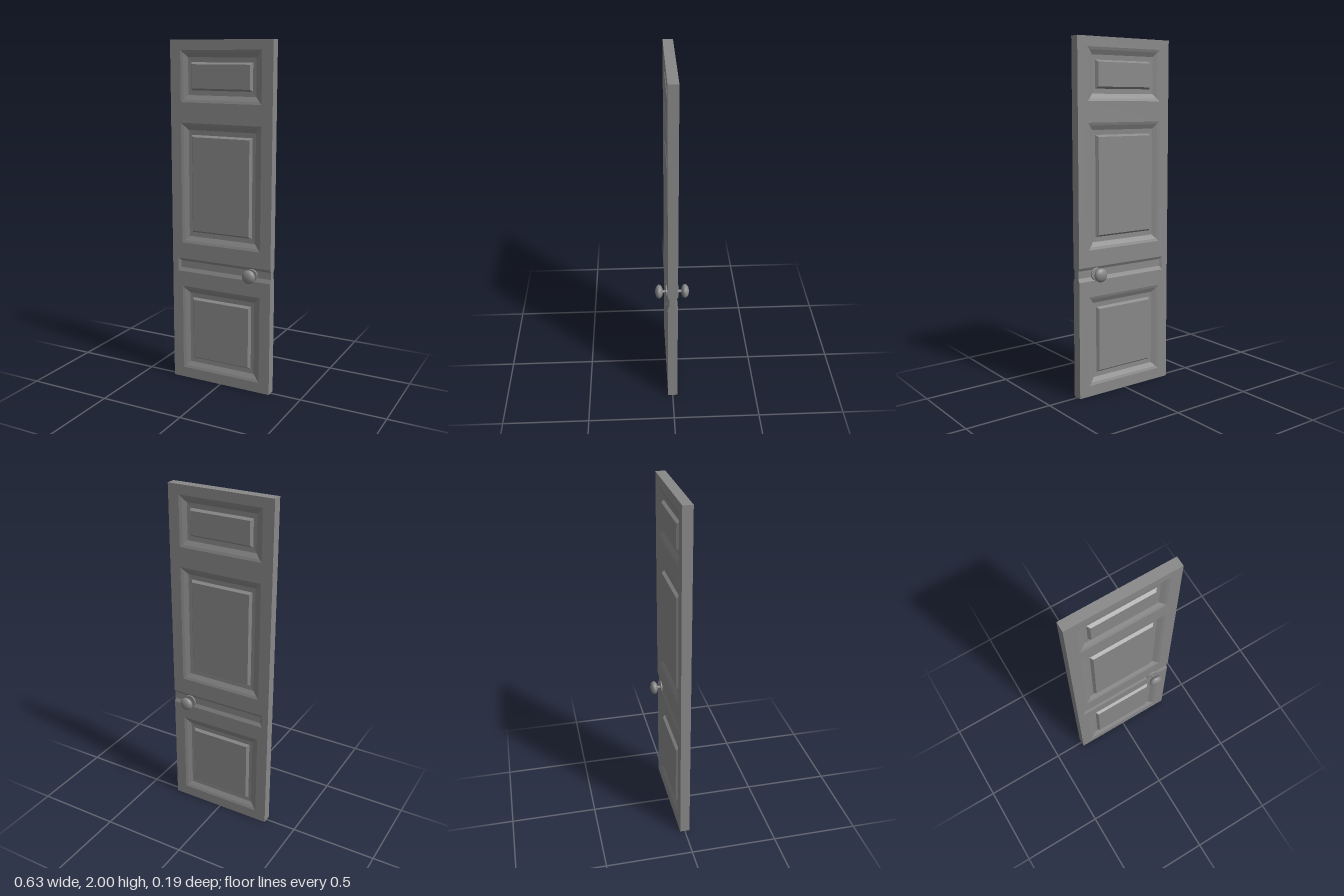
import * as THREE from 'three';
import { mergeGeometries } from 'three/addons/utils/BufferGeometryUtils.js';

const W = 0.315, H = 2, T = 0.028;          // half width, height, half thickness
const KNOB = { x: 0.202, y: 0.706 };
const PANELS = [                             // x half width, bottom, top of each recess
  { name: 'topPanel', x: 0.25, y0: 1.657, y1: 1.945 },
  { name: 'middlePanel', x: 0.25, y0: 0.843, y1: 1.542 },
  { name: 'bottomPanel', x: 0.25, y0: 0.062, y1: 0.577 },
];
// side inset, top and bottom inset, height relative to the door face:
// sloped moulding, sunk floor, raised field
const PANEL_PROFILE = [
  [0, 0, 0], [0.015, 0.015, -0.005], [0.04, 0.04, -0.018], [0.06, 0.067, -0.019], [0.072, 0.078, -0.003],
];
const GROOVE = { x0: -0.278, y0: 0.668, y1: 0.747, depth: 0.009 };
const GROOVE_FLOOR = { x0: -0.262, y0: 0.69, y1: 0.731 };

const paint = new THREE.MeshStandardMaterial({ color: 0x888888 });

function mesh(name, geometry) {
  const m = new THREE.Mesh(geometry, paint);
  m.name = name;
  return m;
}

// Four corners, counter-clockwise from the front
const rect = (x0, x1, y0, y1, z) => [[x0, y0, z], [x1, y0, z], [x1, y1, z], [x0, y1, z]];

// Nested rectangles joined by flat faces; the last one is capped
function loftRects(rings, openSide = -1) {
  const pos = [];
  const quad = (a, b, c, d) => pos.push(...a, ...b, ...c, ...a, ...c, ...d);
  for (let i = 0; i < rings.length - 1; i++) {
    for (let k = 0; k < 4; k++) {
      if (k === openSide) continue;
      const n = (k + 1) % 4;
      quad(rings[i][k], rings[i][n], rings[i + 1][n], rings[i + 1][k]);
    }
  }
  quad(...rings[rings.length - 1]);
  const g = new THREE.BufferGeometry();
  g.setAttribute('position', new THREE.Float32BufferAttribute(pos, 3));
  g.computeVertexNormals();
  return g;
}

// Mirror front to back, keeping the faces outward
function mirrorZ(geometry) {
  const g = geometry.index ? geometry.toNonIndexed() : geometry.clone();
  const p = g.attributes.position, a = new THREE.Vector3(), b = new THREE.Vector3();
  for (let i = 0; i < p.count; i += 3) {
    a.fromBufferAttribute(p, i + 1);
    b.fromBufferAttribute(p, i + 2);
    p.setXYZ(i + 1, b.x, b.y, b.z);
    p.setXYZ(i + 2, a.x, a.y, a.z);
  }
  g.scale(1, 1, -1);
  g.computeVertexNormals();
  return g;
}

// Flat stiles and rails, cut away for the panels and the lock-rail groove
function faceGeometry() {
  const g = GROOVE;
  const outline = [[-W, 0], [W, 0], [W, g.y0], [g.x0, g.y0], [g.x0, g.y1], [W, g.y1], [W, H], [-W, H]];
  const shape = new THREE.Shape(outline.map(([x, y]) => new THREE.Vector2(x, y)));
  for (const p of PANELS) {
    const hole = [[-p.x, p.y0], [-p.x, p.y1], [p.x, p.y1], [p.x, p.y0]];
    shape.holes.push(new THREE.Path(hole.map(([x, y]) => new THREE.Vector2(x, y))));
  }
  return new THREE.ShapeGeometry(shape).translate(0, 0, T);
}

function panelGeometry(p) {
  return loftRects(PANEL_PROFILE.map(([i, j, h]) => rect(-p.x + i, p.x - i, p.y0 + j, p.y1 - j, T + h)));
}

function grooveGeometry() {
  const g = GROOVE, f = GROOVE_FLOOR;
  return loftRects([rect(g.x0, W, g.y0, g.y1, T), rect(f.x0, W, f.y0, f.y1, T - g.depth)], 1);
}

// Outer rim; the lock edge is notched where the groove runs out
function edgeGeometry() {
  const g = GROOVE, f = GROOVE_FLOOR, d = T - g.depth;
  const half = [[T, 0], [T, g.y0], [d, f.y0], [d, f.y1], [T, g.y1], [T, H]];
  const other = half.map(([z, y]) => [-z, y]).reverse();
  const lock = new THREE.Shape([...half, ...other].map(([z, y]) => new THREE.Vector2(z, y)));
  return mergeGeometries([
    new THREE.ShapeGeometry(lock).rotateY(Math.PI / 2).translate(W, 0, 0),
    new THREE.PlaneGeometry(2 * T, H).rotateY(-Math.PI / 2).translate(-W, H / 2, 0),
    new THREE.PlaneGeometry(2 * W, 2 * T).rotateX(-Math.PI / 2).translate(0, H, 0),
    new THREE.PlaneGeometry(2 * W, 2 * T).rotateX(Math.PI / 2),
  ]);
}

// Rose plate, neck and flattened round knob, built along +y from the door face
function createKnob(name, side) {
  const knob = new THREE.Group();
  knob.name = name;
  const plate = new THREE.CylinderGeometry(0.034, 0.036, 0.002, 24).translate(0, 0.007, 0);
  const plateBase = new THREE.CylinderGeometry(0.036, 0.036, 0.006, 24, 1, true).translate(0, 0.003, 0);
  const neck = new THREE.CylinderGeometry(0.008, 0.008, 0.022, 16, 1, true).translate(0, 0.017, 0);
  const grip = new THREE.SphereGeometry(0.04, 16, 10).scale(1, 0.56, 1).translate(0, 0.046, 0);
  knob.add(mesh('rosePlate', mergeGeometries([plateBase, plate])), mesh('neck', neck), mesh('grip', grip));
  knob.position.set(KNOB.x, KNOB.y, side * T);
  knob.rotation.x = side * Math.PI / 2;
  return knob;
}

export function createModel() {
  const door = new THREE.Group();
  door.name = 'panelDoor';
  door.add(mesh('doorEdges', edgeGeometry()));

  const parts = [['face', faceGeometry()], ['lockRailGroove', grooveGeometry()]];
  for (const p of PANELS) parts.push([p.name, panelGeometry(p)]);

  for (const side of [1, -1]) {
    const skin = new THREE.Group();
    skin.name = side > 0 ? 'frontSide' : 'backSide';
    for (const [name, g] of parts) skin.add(mesh(name, side > 0 ? g : mirrorZ(g)));
    skin.add(createKnob(side > 0 ? 'frontKnob' : 'backKnob', side));
    door.add(skin);
  }
  return door;
}
